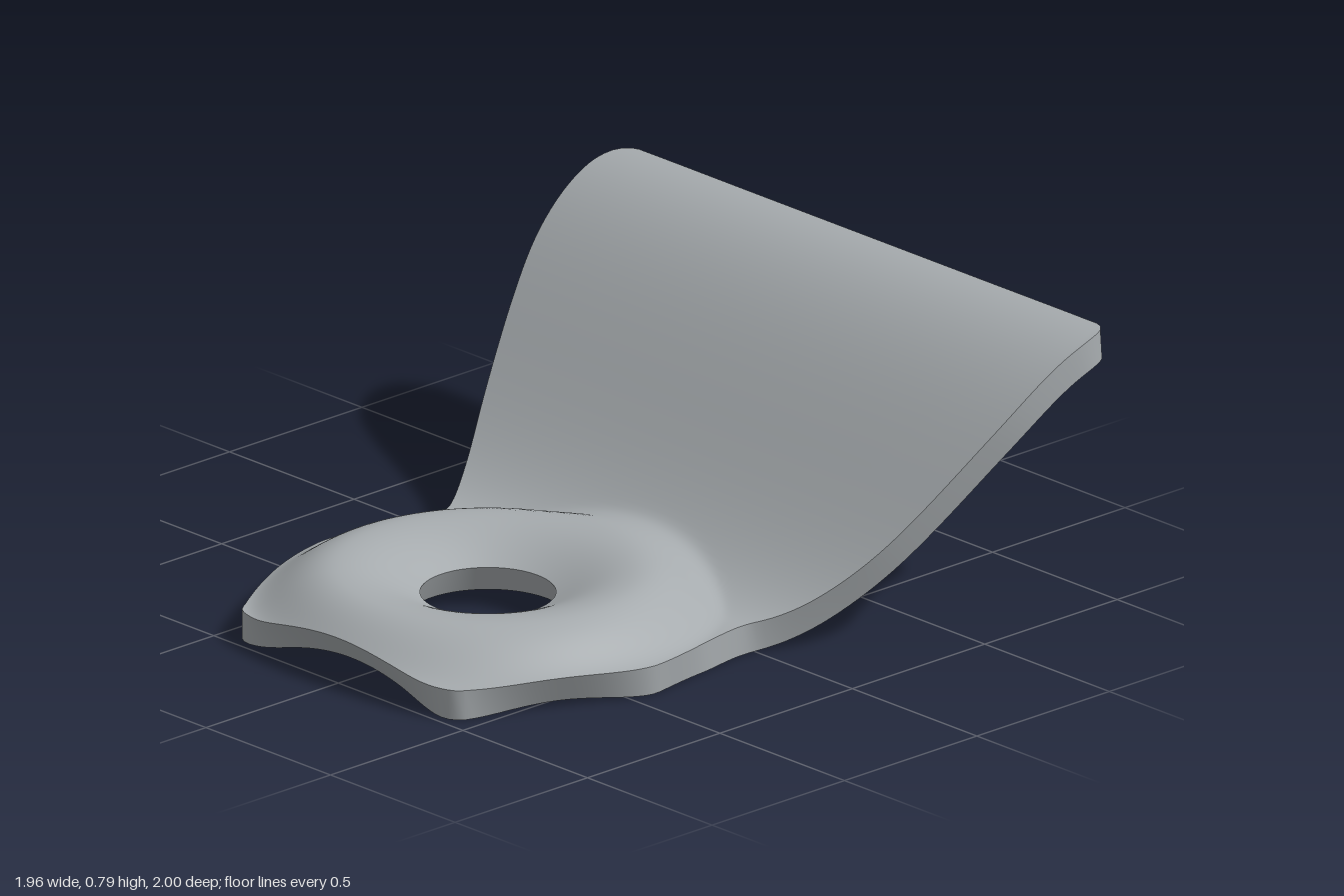
import * as THREE from 'three';

const HALF = 0.043;          // half the sheet thickness
const HOLE_Z = 0.435, HOLE_R = 0.205;
const AROUND = 288, RINGS = 56;

// Mid-surface height: an S-shaped ramp towards the back plus a ring bead around the hole
function height(x, z) {
  const t = THREE.MathUtils.clamp((0.04 - z) / 1.04, 0, 1);
  const ramp = 0.3525 * (1 - Math.cos(Math.PI * t));
  const d = Math.hypot(x, z - HOLE_Z) - 0.42;
  const u = Math.min(1, Math.abs(d) / (d > 0 ? 0.25 : 0.36));
  return 0.053 + ramp + 0.055 * (1 + Math.cos(Math.PI * u));
}

// Point on the sheet, shifted along the surface normal
function sheetPoint(x, z, offset) {
  const e = 0.004;
  const n = new THREE.Vector3(
    (height(x - e, z) - height(x + e, z)) / (2 * e), 1,
    (height(x, z - e) - height(x, z + e)) / (2 * e)).normalize();
  return new THREE.Vector3(x, height(x, z), z).addScaledVector(n, offset);
}

// Smooth closed band through a list of loops
function loft(loops) {
  const pos = [], index = [], n = loops[0].length;
  for (const loop of loops) for (const p of loop) pos.push(p.x, p.y, p.z);
  for (let j = 0; j < loops.length - 1; j++) {
    for (let i = 0; i < n; i++) {
      const k = (i + 1) % n;
      const a = j * n + i, b = j * n + k, c = a + n, d = b + n;
      index.push(a, b, c, b, d, c);
    }
  }
  const g = new THREE.BufferGeometry();
  g.setAttribute('position', new THREE.Float32BufferAttribute(pos, 3));
  g.setIndex(index);
  g.computeVertexNormals();
  return g;
}

// Plan outline: half profile from the back centre to the front, mirrored in x
function outline() {
  const half = [
    [0.45, -1], [0.88, -1], [0.93, -0.998], [0.962, -0.975], [0.98, -0.92], [0.978, -0.82],
    [0.955, -0.68], [0.91, -0.555], [0.815, -0.355], [0.71, -0.175], [0.625, -0.025],
    [0.608, 0.015], [0.605, 0.06], [0.63, 0.22], [0.657, 0.385], [0.66, 0.43], [0.645, 0.49],
    [0.55, 0.71], [0.455, 0.92], [0.435, 0.955], [0.4, 0.973], [0.2, 0.978],
  ];
  const right = half.map(([x, z]) => new THREE.Vector3(x, 0, z));
  const left = half.map(([x, z]) => new THREE.Vector3(-x, 0, z)).reverse();
  const pts = [new THREE.Vector3(0, 0, -1), ...right, new THREE.Vector3(0, 0, 0.979), ...left];
  const curve = new THREE.CatmullRomCurve3(pts, true, 'centripetal');
  curve.arcLengthDivisions = 2000;
  return curve.getSpacedPoints(AROUND).slice(0, AROUND);
}

export function createModel() {
  const group = new THREE.Group();
  group.name = 'bentMountingPlate';
  const metal = new THREE.MeshStandardMaterial({ color: 0xa6abae });
  metal.name = 'grey metal';

  // Rings running from the hole rim out to the plate edge
  const edge = outline();
  const rings = (offset) => Array.from({ length: RINGS + 1 }, (_, j) => edge.map((p) => {
    const dx = p.x, dz = p.z - HOLE_Z;
    const s = THREE.MathUtils.lerp(HOLE_R / Math.hypot(dx, dz), 1, j / RINGS);
    return sheetPoint(dx * s, HOLE_Z + dz * s, offset);
  }));
  const top = rings(HALF), bottom = rings(-HALF);

  const add = (name, loops) => {
    const mesh = new THREE.Mesh(loft(loops), metal);
    mesh.name = name;
    group.add(mesh);
  };
  add('upperFace', top);
  add('lowerFace', [...bottom].reverse());
  add('outerEdge', [top[RINGS], bottom[RINGS]]);
  add('holeWall', [bottom[0], top[0]]);
  return group;
}
